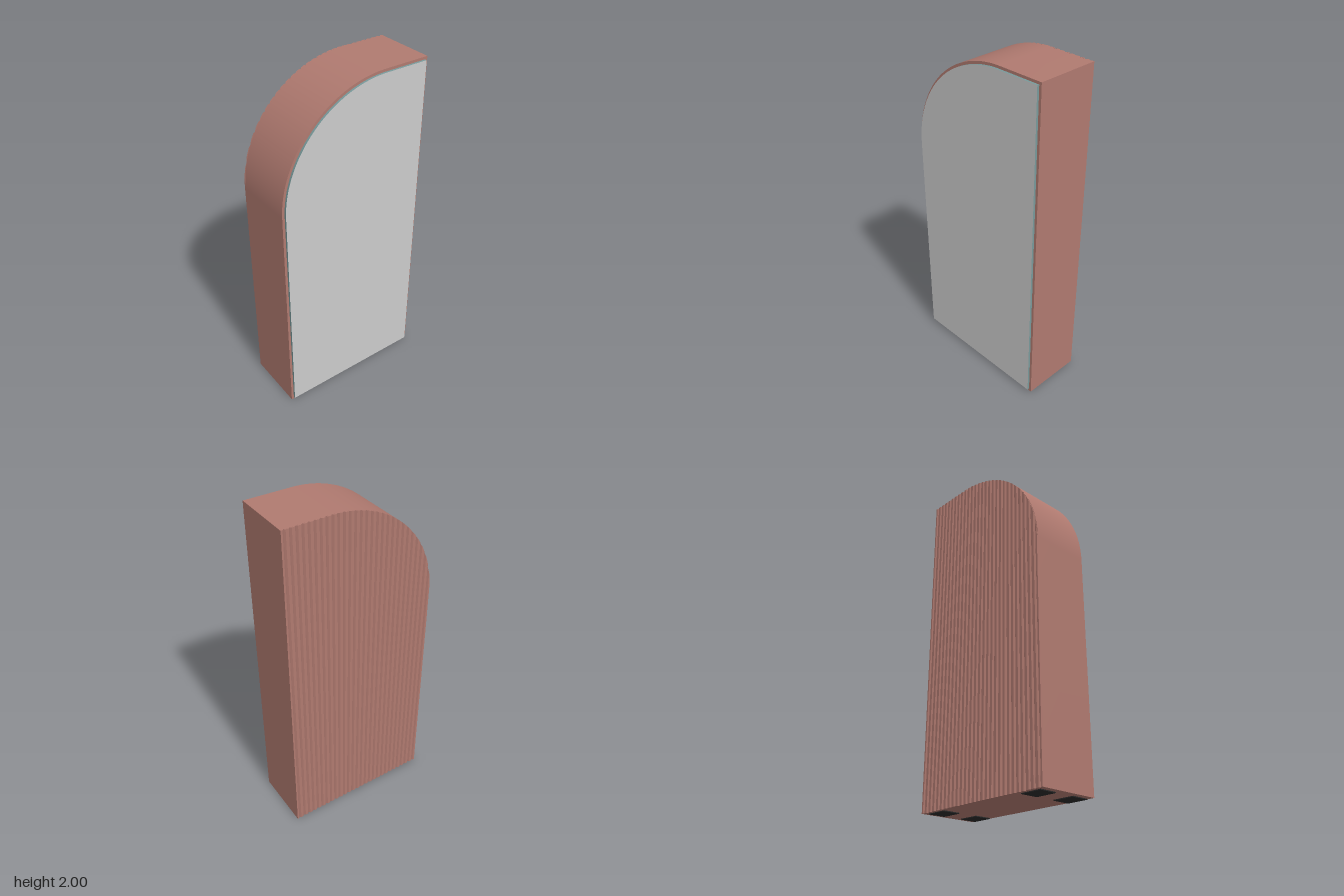
import * as THREE from 'three';
import { toCreasedNormals } from 'three/addons/utils/BufferGeometryUtils.js';

const HALF = 0.457, BOTTOM = 0.005, TOP = 2, RADIUS = 0.64;
const FRONT = 0.177, BACK = -0.182, RIB = 0.008;
const NOTCHES = 28, PITCH = 0.0325;

// Upright outline with one rounded upper corner on the -x side
function outline(inset) {
  const l = -HALF + inset, r = HALF - inset, b = BOTTOM + inset, t = TOP - inset;
  const s = new THREE.Shape();
  s.moveTo(l, b);
  s.lineTo(r, b);
  s.lineTo(r, t);
  s.lineTo(RADIUS - HALF, t);
  s.absarc(RADIUS - HALF, TOP - RADIUS, RADIUS - inset, Math.PI / 2, Math.PI, false);
  s.lineTo(l, b);
  return s;
}

function slab(inset, z0, z1) {
  const g = new THREE.ExtrudeGeometry(outline(inset), { depth: z1 - z0, bevelEnabled: false, curveSegments: 48 });
  g.translate(0, 0, z0);
  return toCreasedNormals(g, 0.5);
}

// Height of the outline above a given x
function topAt(x) {
  const dx = Math.max(0, RADIUS - HALF - x);
  return TOP - RADIUS + Math.sqrt(Math.max(0, RADIUS * RADIUS - dx * dx));
}

// Vertical ribs: a notched cross-section raised to meet the outline
function ribGeometry() {
  const xs = [-HALF, HALF];
  const centres = [];
  for (let i = 0; i < NOTCHES; i++) {
    const c = (i - (NOTCHES - 1) / 2) * PITCH;
    centres.push(c);
    xs.push(c - RIB, c, c + RIB);
  }
  for (let i = 1; i < 48; i++) xs.push(RADIUS - HALF - RADIUS * Math.cos(i / 48 * Math.PI / 2));
  xs.sort((a, b) => a - b);

  const depthAt = (x) => {
    const d = Math.min(...centres.map((c) => Math.abs(x - c)));
    return -BACK + Math.min(RIB, d + 0.0005);
  };
  const section = new THREE.Shape();
  section.moveTo(-HALF, -BACK - 0.002);
  section.lineTo(HALF, -BACK - 0.002);
  for (const x of xs.reverse()) section.lineTo(x, depthAt(x));

  const g = new THREE.ExtrudeGeometry(section, { depth: 1, bevelEnabled: false });
  g.rotateX(-Math.PI / 2);
  const p = g.attributes.position;
  for (let i = 0; i < p.count; i++) {
    p.setY(i, BOTTOM + p.getY(i) * (topAt(p.getX(i)) - BOTTOM));
  }
  g.computeVertexNormals();
  return g;
}

export function createModel() {
  const model = new THREE.Group();
  const bodyMat = new THREE.MeshStandardMaterial({ color: 0xb07a70 });
  const faceMat = new THREE.MeshStandardMaterial({ color: 0xcccccc });
  const edgeMat = new THREE.MeshStandardMaterial({ color: 0x78999a });
  const footMat = new THREE.MeshStandardMaterial({ color: 0x2a2a2a });

  const add = (name, geometry, material) => {
    const mesh = new THREE.Mesh(geometry, material);
    mesh.name = name;
    model.add(mesh);
    return mesh;
  };

  add('body', slab(0, BACK, FRONT), bodyMat);
  add('backRibs', ribGeometry(), bodyMat);

  // Thin front panel with a tinted edge
  add('frontPanel', slab(0.015, FRONT, 0.19), [faceMat, edgeMat]);

  // Four flat pads under the base
  for (const x of [-0.357, 0.357]) {
    for (const z of [-0.113, 0.113]) {
      add('footPad', new THREE.BoxGeometry(0.13, 0.006, 0.105), footMat).position.set(x, 0.003, z);
    }
  }
  return model;
}
